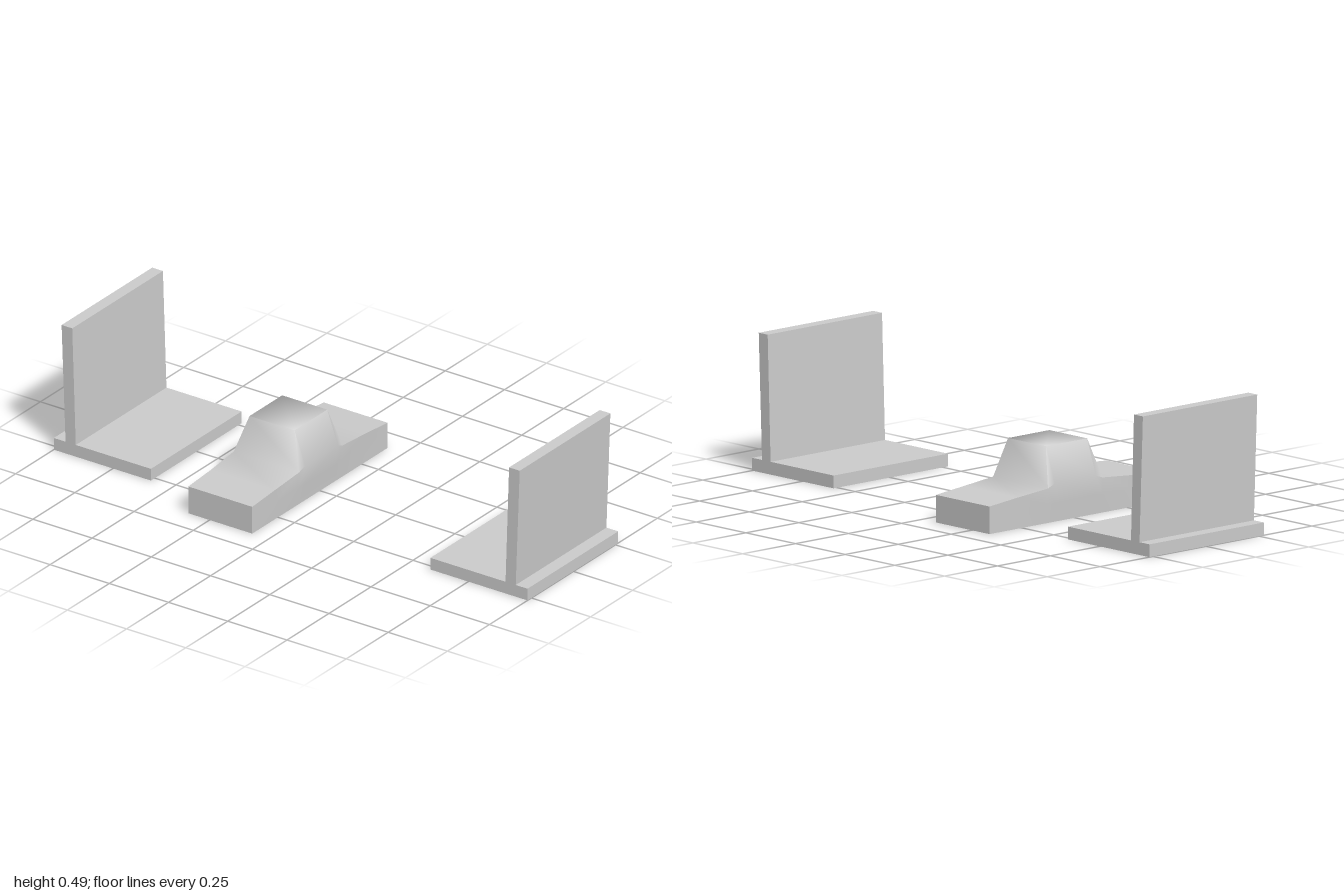
import * as THREE from 'three';
import { toCreasedNormals } from 'three/addons/utils/BufferGeometryUtils.js';

const material = new THREE.MeshStandardMaterial({ color: 0xcccccc });
const thinDepth = 0.54;

function addMesh(parent, name, geometry) {
  const mesh = new THREE.Mesh(geometry, material);
  mesh.name = name;
  parent.add(mesh);
  return mesh;
}

// Prism along z from a profile in the xy plane, mirrored by side
function prism(points, side) {
  const shape = new THREE.Shape(points.map(([x, y]) => new THREE.Vector2(x * side, y)));
  const geometry = new THREE.ExtrudeGeometry(shape, { depth: thinDepth, bevelEnabled: false });
  return geometry.translate(0, 0, 0.003 - thinDepth / 2);
}

// Flat base slab with a wall leaning slightly outward
function createStand(side) {
  const stand = new THREE.Group();
  stand.name = side > 0 ? 'leftStand' : 'rightStand';
  addMesh(stand, 'base', prism([[0.59, 0], [1, 0], [1, 0.045], [0.59, 0.045]], side));
  addMesh(stand, 'wall', prism([[0.907, 0.04], [0.95, 0.04], [0.967, 0.49], [0.922, 0.49]], side));
  return stand;
}

// Block with a raised cabin, lofted from cross-sections running front to back
function createBody() {
  // z, waist half-width, shoulder half-width and height, top half-width and height
  const stations = [
    [0.403, 0.135, 0.135, 0.103, 0.135, 0.103],
    [0.27, 0.135, 0.135, 0.112, 0.135, 0.112],
    [0.128, 0.137, 0.138, 0.124, 0.138, 0.124],
    [0.095, 0.137, 0.14, 0.135, 0.095, 0.26],
    [-0.1, 0.137, 0.14, 0.135, 0.095, 0.26],
    [-0.13, 0.137, 0.138, 0.122, 0.138, 0.122],
    [-0.265, 0.135, 0.135, 0.11, 0.135, 0.11],
    [-0.403, 0.135, 0.135, 0.097, 0.135, 0.097],
  ];
  const rings = stations.map(([z, waist, shoulder, shoulderY, top, topY]) => {
    const half = [[0.135, 0], [waist, 0.065], [shoulder, shoulderY], [top, topY]];
    const mirrored = half.map(([x, y]) => [-x, y]).reverse();
    return [...half, ...mirrored].map(([x, y]) => new THREE.Vector3(x, y, z));
  });

  const positions = [];
  const triangle = (a, b, c) => {
    // Skip collapsed corners
    if (new THREE.Triangle(a, b, c).getArea() < 1e-7) return;
    for (const p of [a, b, c]) positions.push(p.x, p.y, p.z);
  };
  const count = rings[0].length;
  for (let i = 0; i < rings.length - 1; i++) {
    for (let j = 0; j < count; j++) {
      const k = (j + 1) % count;
      const a = rings[i][j], b = rings[i][k], c = rings[i + 1][k], d = rings[i + 1][j];
      // Mirror the diagonal on the far side
      if (j < count / 2) {
        triangle(a, d, c);
        triangle(a, c, b);
      } else {
        triangle(a, d, b);
        triangle(b, d, c);
      }
    }
  }
  // End caps
  const first = rings[0], last = rings[rings.length - 1];
  for (let j = 1; j < count - 1; j++) {
    triangle(first[0], first[j], first[j + 1]);
    triangle(last[0], last[j + 1], last[j]);
  }
  const geometry = new THREE.BufferGeometry();
  geometry.setAttribute('position', new THREE.Float32BufferAttribute(positions, 3));
  return toCreasedNormals(geometry, THREE.MathUtils.degToRad(80));
}

export function createModel() {
  const model = new THREE.Group();
  model.name = 'model';
  for (const side of [-1, 1]) model.add(createStand(side));
  addMesh(model, 'cabinBody', createBody()).position.x = -0.205;
  return model;
}
